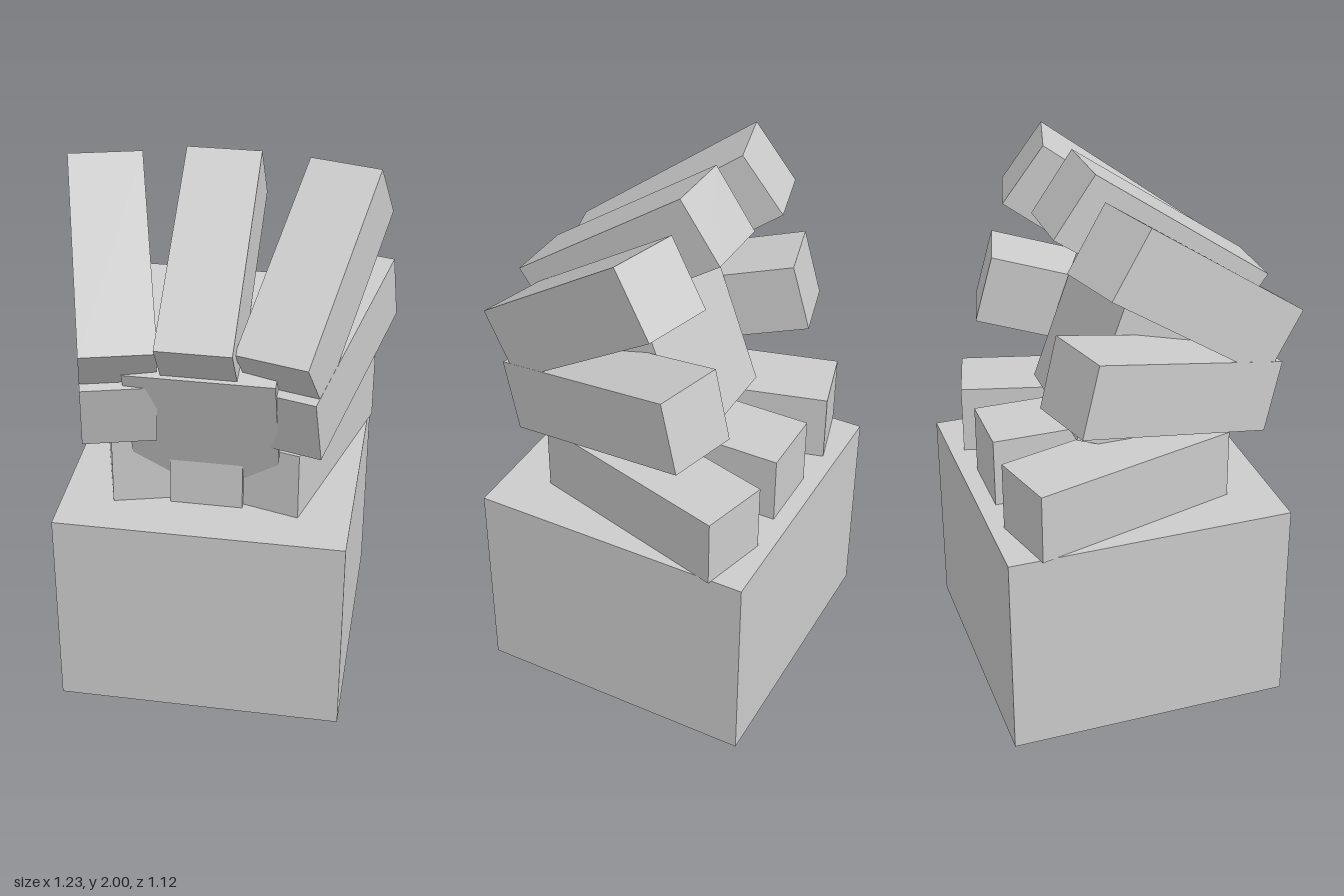
import * as THREE from 'three';

export function createModel() {
  const model = new THREE.Group();
  const material = new THREE.MeshStandardMaterial({ color: 0xcccccc, flatShading: true });
  const rad = THREE.MathUtils.degToRad;

  // Box placed by its centre, pitched about x and then yawed about y
  function addBox(name, size, position, pitch = 0, yaw = 0) {
    const mesh = new THREE.Mesh(new THREE.BoxGeometry(...size), material);
    mesh.name = name;
    mesh.position.set(...position);
    mesh.rotation.set(rad(pitch), rad(yaw), 0, 'YXZ');
    model.add(mesh);
  }

  const bar = [0.262, 0.262, 0.787];

  // Plinth and the tilted central block
  addBox('base', [1.05, 0.79, 1.05], [-0.003, 0.395, -0.036]);
  addBox('centralBlock', [0.525, 0.525, 0.525], [-0.003, 1.237, 0.107], 20);

  // Bars along the centre line
  addBox('lowerMiddleBar', bar, [-0.003, 0.92, -0.104]);
  addBox('upperMiddleBar', bar, [-0.003, 1.668, 0.137], 35);

  // Bars fanning out to each side; the raised ones sit slightly further forward on the right
  for (const [side, s, shift] of [['left', 1, 0], ['right', -1, 0.035]]) {
    const yaw = -15 * s;
    addBox(side + 'LowerBar', bar, [-0.003 + 0.311 * s, 0.92, -0.095], 0, yaw);
    addBox(side + 'MiddleBar', bar, [-0.003 + 0.38 * s, 1.314, 0.012 + shift], 15, yaw);
    addBox(side + 'UpperBar', bar, [-0.003 + 0.354 * s, 1.633, 0.107 + shift], 35, yaw);
  }

  return model;
}
